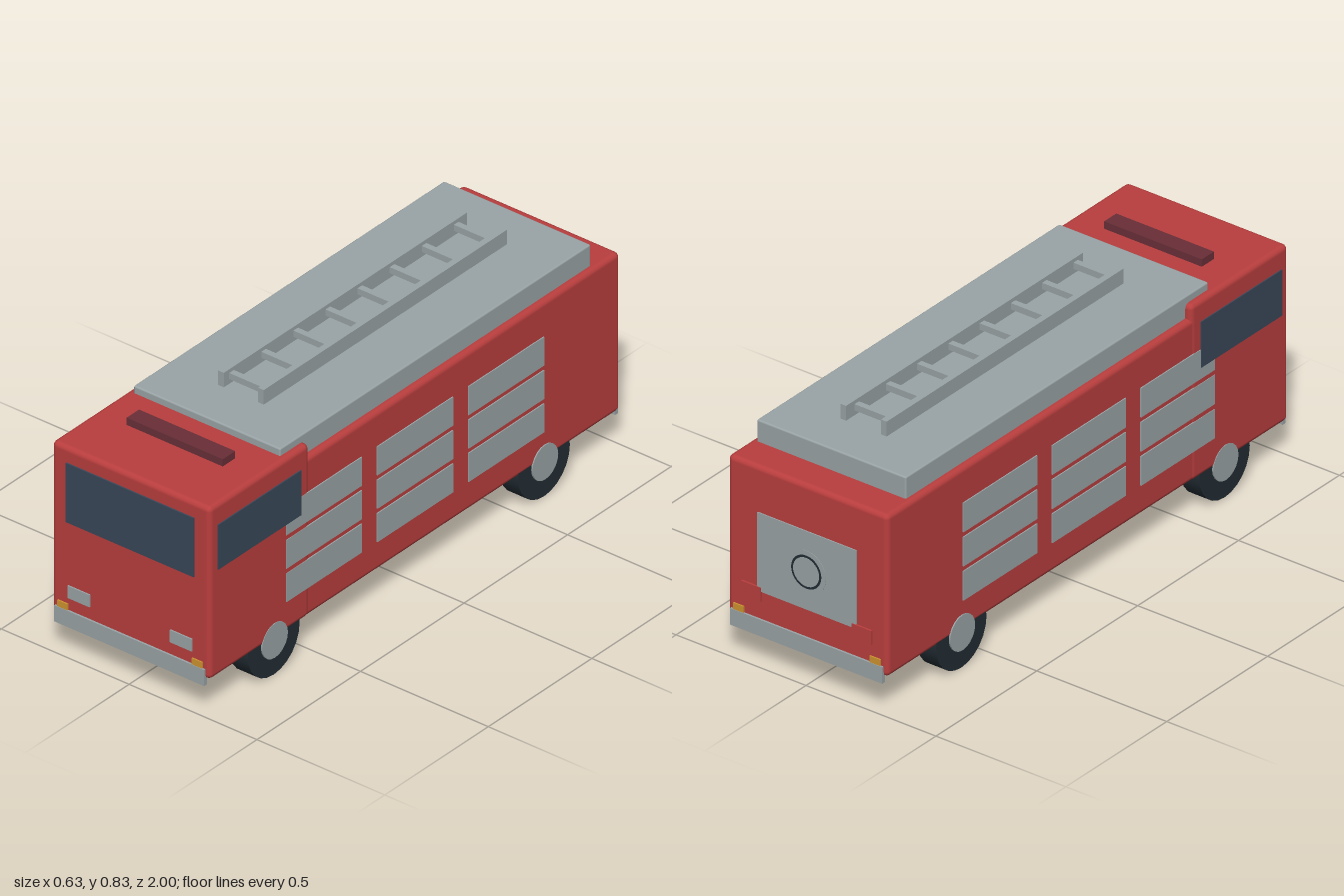
import * as THREE from 'three';
import { RoundedBoxGeometry } from 'three/addons/geometries/RoundedBoxGeometry.js';

const mat = (name, color) => Object.assign(new THREE.MeshStandardMaterial({ color }), { name });

export function createModel() {
  const red = mat('red paint', 0xba3e3e);
  const grey = mat('silver grey', 0x9aa4a6);
  const glass = mat('dark glass', 0x3a485a);
  const rubber = mat('tyre rubber', 0x222d34);
  const amber = mat('amber', 0xd09430);
  const maroon = mat('beacon maroon', 0x6a2f38);

  const model = new THREE.Group();
  model.name = 'fireEngine';

  const add = (name, geometry, material, parent = model) => {
    const mesh = new THREE.Mesh(geometry, material);
    mesh.name = name;
    parent.add(mesh);
    return mesh;
  };
  // Box given by its limits on each axis, rounded when r > 0
  const block = (name, material, [x0, x1], [y0, y1], [z0, z1], r = 0, parent = model) => {
    const size = [x1 - x0, y1 - y0, z1 - z0];
    const geometry = r ? new RoundedBoxGeometry(...size, 2, r) : new THREE.BoxGeometry(...size);
    const mesh = add(name, geometry, material, parent);
    mesh.position.set((x0 + x1) / 2, (y0 + y1) / 2, (z0 + z1) / 2);
    return mesh;
  };

  // Bodywork
  block('rearBody', red, [-0.308, 0.308], [0.13, 0.70], [-0.993, 0.56], 0.018);
  block('cab', red, [-0.31, 0.31], [0.13, 0.75], [0.51, 0.993], 0.018);
  block('roofDeck', grey, [-0.287, 0.287], [0.69, 0.776], [-0.875, 0.625], 0.006);
  block('beaconBar', maroon, [-0.188, 0.188], [0.745, 0.776], [0.72, 0.78]);

  // Roof ladder
  const ladder = new THREE.Group();
  ladder.name = 'ladder';
  model.add(ladder);
  for (const s of [-1, 1]) {
    const rail = block('ladderRail', grey, [0.067, 0.089], [0.776, 0.828], [-0.715, 0.46], 0, ladder);
    rail.position.x *= s;
  }
  for (let i = 0; i < 8; i++) {
    const z = -0.662 + i * 0.155;
    block('ladderRung', grey, [-0.07, 0.07], [0.793, 0.815], [z - 0.011, z + 0.011], 0, ladder);
  }

  // Front windscreen
  block('windscreen', glass, [-0.25, 0.25], [0.483, 0.695], [0.99, 0.998]);

  for (const s of [-1, 1]) {
    const side = (x0, x1) => (s > 0 ? [x0, x1] : [-x1, -x0]);

    // Side window and locker shutters
    block('sideWindow', glass, side(0.306, 0.314), [0.515, 0.676], [0.555, 0.957]);
    for (const z of [0.26, -0.18, -0.62]) {
      for (const y of [0.235, 0.355, 0.475]) {
        block('lockerShutter', grey, side(0.304, 0.312), [y, y + 0.103], [z, z + 0.365]);
      }
    }

    // Lamps at both ends
    block('headlight', grey, side(0.157, 0.243), [0.213, 0.257], [0.99, 0.998]);
    block('tailLight', red, side(0.175, 0.25), [0.23, 0.28], [-1, -0.991]);
    block('frontIndicator', amber, side(0.243, 0.283), [0.166, 0.19], [0.99, 0.998]);
    block('rearIndicator', amber, side(0.243, 0.283), [0.166, 0.19], [-0.998, -0.99]);

    // Bumper at each end
    block('bumper', grey, [-0.293, 0.293], [0.11, 0.168], s > 0 ? [0.985, 1] : [-1, -0.985]);

    // Wheels
    for (const z of [0.68, -0.625]) {
      const wheel = new THREE.Group();
      wheel.name = 'wheel';
      wheel.position.set(s * 0.27, 0.125, z);
      model.add(wheel);
      const tyre = add('tyre', new THREE.CylinderGeometry(0.125, 0.125, 0.073, 24), rubber, wheel);
      const hub = add('hub', new THREE.CylinderGeometry(0.062, 0.062, 0.084, 20), grey, wheel);
      tyre.rotation.z = hub.rotation.z = Math.PI / 2;
    }
  }

  // Rear panel with round hose outlet
  block('rearPanel', grey, [-0.19, 0.19], [0.265, 0.54], [-0.997, -0.989]);
  const disc = (name, radius, material, z) => {
    const mesh = add(name, new THREE.CylinderGeometry(radius, radius, 0.006, 32), material);
    mesh.rotation.x = Math.PI / 2;
    mesh.position.set(0, 0.398, z);
  };
  disc('outletFlange', 0.075, grey, -0.9955);
  disc('outletSeal', 0.058, rubber, -0.9962);
  disc('outletCap', 0.05, grey, -0.9969);

  return model;
}
